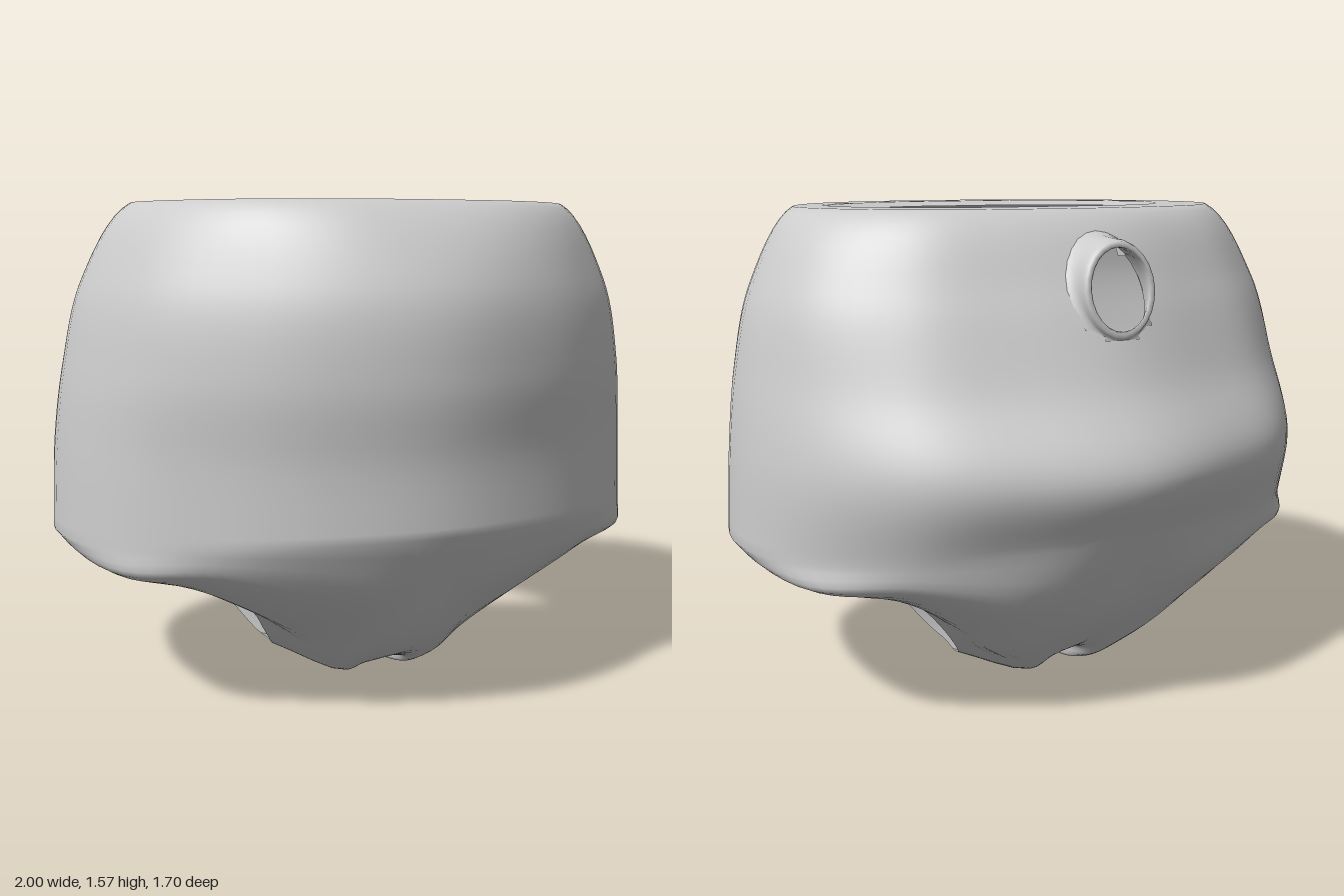
import * as THREE from 'three';
import { mergeGeometries, mergeVertices } from 'three/addons/utils/BufferGeometryUtils.js';

const K = 6; // samples between neighbouring profile points
const V = (x, y, z) => new THREE.Vector3(x, y, z);
const vecs = (a) => a.map((p) => V(...p));

// Smooth loop or line through points, K samples per span
function sample(points, closed) {
  const curve = new THREE.CatmullRomCurve3(points, closed);
  const n = (closed ? points.length : points.length - 1) * K;
  const out = [];
  for (let i = 0; i < (closed ? n : n + 1); i++) out.push(curve.getPoint(i / n));
  return out;
}

// Skin over closed loops, smooth across the loops; skip() leaves quads open
function skin(loops, { steps = 4, flip = false, skip = () => false, top = Infinity } = {}) {
  const n = loops[0].length, rows = (loops.length - 1) * steps;
  const pts = [], pos = [], index = [];
  const curves = loops[0].map((_, j) => new THREE.CatmullRomCurve3(loops.map((l) => l[j])));
  for (let r = 0; r <= rows; r++) {
    for (const c of curves) {
      const p = c.getPoint(r / rows);
      p.y = Math.max(0, Math.min(p.y, top));
      pts.push(p);
      pos.push(p.x, p.y, p.z);
    }
  }
  for (let r = 0; r < rows; r++) {
    for (let j = 0; j < n; j++) {
      const a = r * n + j, b = r * n + (j + 1) % n, c = a + n, d = b + n;
      if (skip(pts[a].clone().add(pts[d]).multiplyScalar(0.5))) continue;
      if (flip) index.push(a, b, c, b, d, c);
      else index.push(a, c, b, b, c, d);
    }
  }
  const g = new THREE.BufferGeometry();
  g.setAttribute('position', new THREE.Float32BufferAttribute(pos, 3));
  g.setIndex(index);
  return g;
}

// Full ring from a front-to-back half
function mirrorRing(half) {
  const other = half.slice(1, -1).reverse().map((p) => V(-p.x, p.y, p.z));
  return sample([...half, ...other], true);
}

// Horizontal body ring: half width, front depth, back depth
const RX = [0, 0.32, 0.61, 0.88, 1, 0.91, 0.66, 0.37, 0];
const RZ = [1, 0.93, 0.76, 0.47, 0.03, -0.4, -0.74, -0.9, -1];
function bodyRing(y, w, front, back, drop = 0) {
  return mirrorRing(RX.map((x, i) =>
    V(x * w, y - drop * x * x, RZ[i] * (RZ[i] > 0 ? front : back))));
}
const flatRing = (y, a) => mirrorRing(a.map(([x, z]) => V(x, y, z)));

export function createModel() {
  const group = new THREE.Group();
  const material = new THREE.MeshStandardMaterial({ color: 0xcccccc, side: THREE.DoubleSide });

  // Body from the waist hole down to the shoulder above the legs
  const shoulder = bodyRing(0.62, 1, 0.82, 0.76, 0.07);
  const body = skin([
    flatRing(1.555, [[0, 0.42], [0.2, 0.42], [0.36, 0.34], [0.48, 0.27], [0.52, 0.18],
      [0.45, 0.03], [0.3, -0.09], [0.12, -0.1], [0, -0.09]]),
    flatRing(1.57, [[0, 0.65], [0.28, 0.62], [0.5, 0.5], [0.66, 0.3], [0.73, 0.08],
      [0.68, -0.12], [0.5, -0.31], [0.28, -0.39], [0, -0.42]]),
    bodyRing(1.33, 0.885, 0.83, 0.59),
    bodyRing(1.07, 0.95, 0.855, 0.71),
    bodyRing(0.83, 0.982, 0.825, 0.845),
    shoulder,
  ], {
    steps: 8, top: 1.57,
    skip: (p) => p.z < 0 && (p.x / 0.115) ** 2 + ((p.y - 1.34) / 0.145) ** 2 < 1,
  });

  // Underside of one leg: shoulder and crotch line, panel, hem, leg hole
  const crotch = vecs([[0, 0.62, -0.76], [0, 0.35, -0.63], [0, 0.19, -0.47], [0, 0.08, -0.2],
    [0, 0.07, 0.05], [0, 0.07, 0.25], [0, 0.11, 0.38], [0, 0.23, 0.6], [0, 0.62, 0.82]]);
  const outer = [...shoulder.slice(0, 8 * K), ...sample(crotch, false).slice(0, 8 * K)];
  const panel = sample(vecs([[0.17, 0.38, 0.67], [0.37, 0.44, 0.65], [0.62, 0.5, 0.58],
    [0.86, 0.49, 0.41], [0.96, 0.505, 0.02], [0.87, 0.49, -0.37], [0.64, 0.5, -0.55],
    [0.38, 0.44, -0.63], [0.19, 0.37, -0.62], [0.12, 0.24, -0.52], [0.08, 0.12, -0.38],
    [0.08, 0.07, -0.18], [0.075, 0.07, 0.05], [0.09, 0.07, 0.22], [0.08, 0.085, 0.35],
    [0.12, 0.17, 0.5]]), true);
  const hem = sample(vecs([[0.26, 0.19, 0.4], [0.4, 0.29, 0.43], [0.6, 0.41, 0.46],
    [0.77, 0.45, 0.3], [0.85, 0.47, 0], [0.78, 0.455, -0.27], [0.6, 0.42, -0.43],
    [0.42, 0.31, -0.46], [0.28, 0.2, -0.44], [0.18, 0.13, -0.4], [0.12, 0.06, -0.32],
    [0.09, 0.01, -0.18], [0.085, 0, 0.05], [0.1, 0.02, 0.22], [0.12, 0.06, 0.33],
    [0.17, 0.11, 0.38]]), true);
  const hole = sample(vecs([[0.42, 0.27, 0.26], [0.5, 0.35, 0.29], [0.61, 0.4, 0.27],
    [0.66, 0.43, 0.14], [0.65, 0.43, 0], [0.62, 0.42, -0.12], [0.57, 0.4, -0.24],
    [0.5, 0.34, -0.32], [0.44, 0.27, -0.31], [0.38, 0.19, -0.27], [0.33, 0.12, -0.2],
    [0.3, 0.08, -0.1], [0.29, 0.08, 0], [0.3, 0.09, 0.08], [0.33, 0.13, 0.15],
    [0.37, 0.19, 0.21]]), true);
  const legLoops = [outer, panel, hem, hole];
  const leftLeg = skin(legLoops);
  const rightLeg = skin(legLoops.map((l) => l.map((p) => V(-p.x, p.y, p.z))), { flip: true });

  const shortsGeometry = mergeVertices(mergeGeometries([body, leftLeg, rightLeg]), 1e-4);
  shortsGeometry.computeVertexNormals();
  const shorts = new THREE.Mesh(shortsGeometry, material);
  shorts.name = 'shorts';
  group.add(shorts);

  // Short oval collar around the tail hole: [half width, centre y, half height, z, tilt]
  const collarLoops = [[0.155, 1.34, 0.18, -0.555, 0.6], [0.125, 1.345, 0.15, -0.59, 0.4],
    [0.118, 1.345, 0.137, -0.635, 0.15], [0.1, 1.345, 0.12, -0.635, 0.15],
    [0.115, 1.34, 0.145, -0.57, 0.55]].map(([w, y, h, z, tilt]) =>
    Array.from({ length: 24 }, (_, i) => {
      const a = (i / 24) * Math.PI * 2;
      return V(w * Math.cos(a), y + h * Math.sin(a), z + tilt * h * Math.sin(a));
    }));
  const collarGeometry = skin(collarLoops, { steps: 3 });
  collarGeometry.computeVertexNormals();
  const collar = new THREE.Mesh(collarGeometry, material);
  collar.name = 'tailCollar';
  group.add(collar);

  return group;
}
